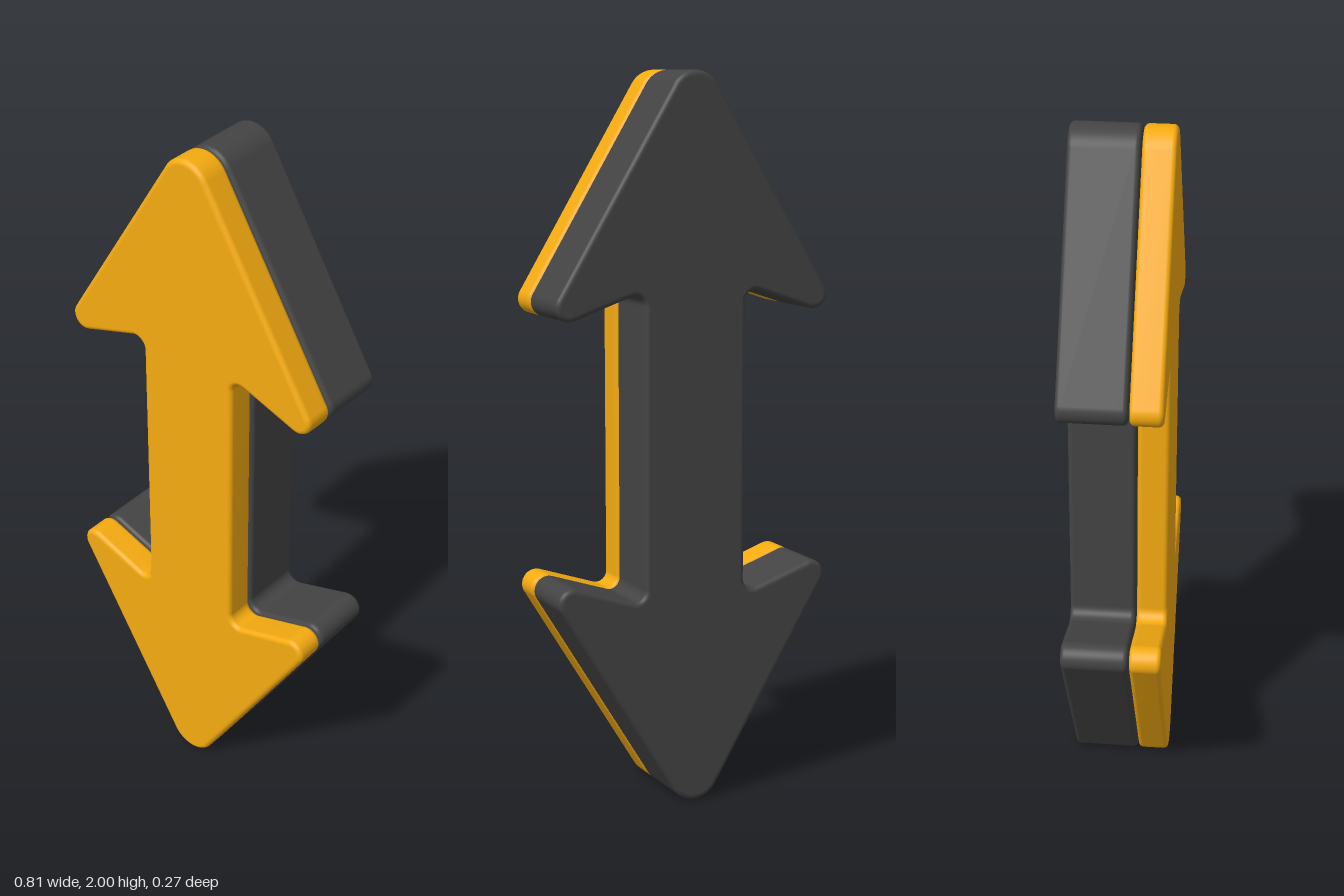
import * as THREE from 'three';
import { mergeVertices } from 'three/addons/utils/BufferGeometryUtils.js';

const BEVEL = 0.014;

// Closed counter-clockwise polygon with every corner [x, y, radius] replaced by an arc
function filletedShape(corners) {
  const shape = new THREE.Shape();
  const n = corners.length;
  corners.forEach(([x, y, r], i) => {
    const p = new THREE.Vector2(x, y);
    const [px, py] = corners[(i + n - 1) % n];
    const [nx, ny] = corners[(i + 1) % n];
    const toPrev = new THREE.Vector2(px, py).sub(p).normalize();
    const toNext = new THREE.Vector2(nx, ny).sub(p).normalize();
    const half = Math.acos(toPrev.dot(toNext)) / 2;
    const c = toPrev.clone().add(toNext).normalize().multiplyScalar(r / Math.sin(half)).add(p);
    const convex = toNext.cross(toPrev) > 0;
    const turn = convex ? -Math.PI / 2 : Math.PI / 2;
    const a0 = Math.atan2(-toPrev.y, -toPrev.x) + turn;
    const a1 = Math.atan2(toNext.y, toNext.x) + turn;
    shape.absarc(c.x, c.y, r, a0, a1, !convex);
  });
  return shape;
}

// Outline of the double-headed arrow, mirrored from one quarter
function arrowShape() {
  const apex = [0, 1.07, 0.076];
  const barb = [0.457, 0.322, 0.04];
  const notch = [0.15, 0.426, 0.03];
  const flip = ([x, y, r], sx, sy) => [x * sx, y * sy, r];
  return filletedShape([
    apex,
    barb, notch, flip(notch, 1, -1), flip(barb, 1, -1),
    flip(apex, 1, -1),
    flip(barb, -1, -1), flip(notch, -1, -1), flip(notch, -1, 1), flip(barb, -1, 1),
  ].reverse());
}

// Soft-edged slab of the arrow between two depths
function arrowSlab(name, shape, zBack, zFront, color) {
  let geometry = new THREE.ExtrudeGeometry(shape, {
    depth: zFront - zBack - 2 * BEVEL,
    bevelThickness: BEVEL,
    bevelSize: BEVEL,
    bevelOffset: -BEVEL,
    bevelSegments: 5,
    curveSegments: 14,
  });
  geometry.translate(0, 1, zBack + BEVEL);
  geometry.deleteAttribute('uv');
  geometry.deleteAttribute('normal');
  geometry = mergeVertices(geometry, 1e-5);
  geometry.computeVertexNormals();
  const mesh = new THREE.Mesh(geometry, new THREE.MeshStandardMaterial({ color }));
  mesh.name = name;
  return mesh;
}

export function createModel() {
  const group = new THREE.Group();
  group.name = 'doubleArrow';
  const shape = arrowShape();
  group.add(
    arrowSlab('frontFace', shape, 0.05, 0.137, 0xf5ab10),
    arrowSlab('backBody', shape, -0.137, 0.047, 0x444444),
  );
  return group;
}
